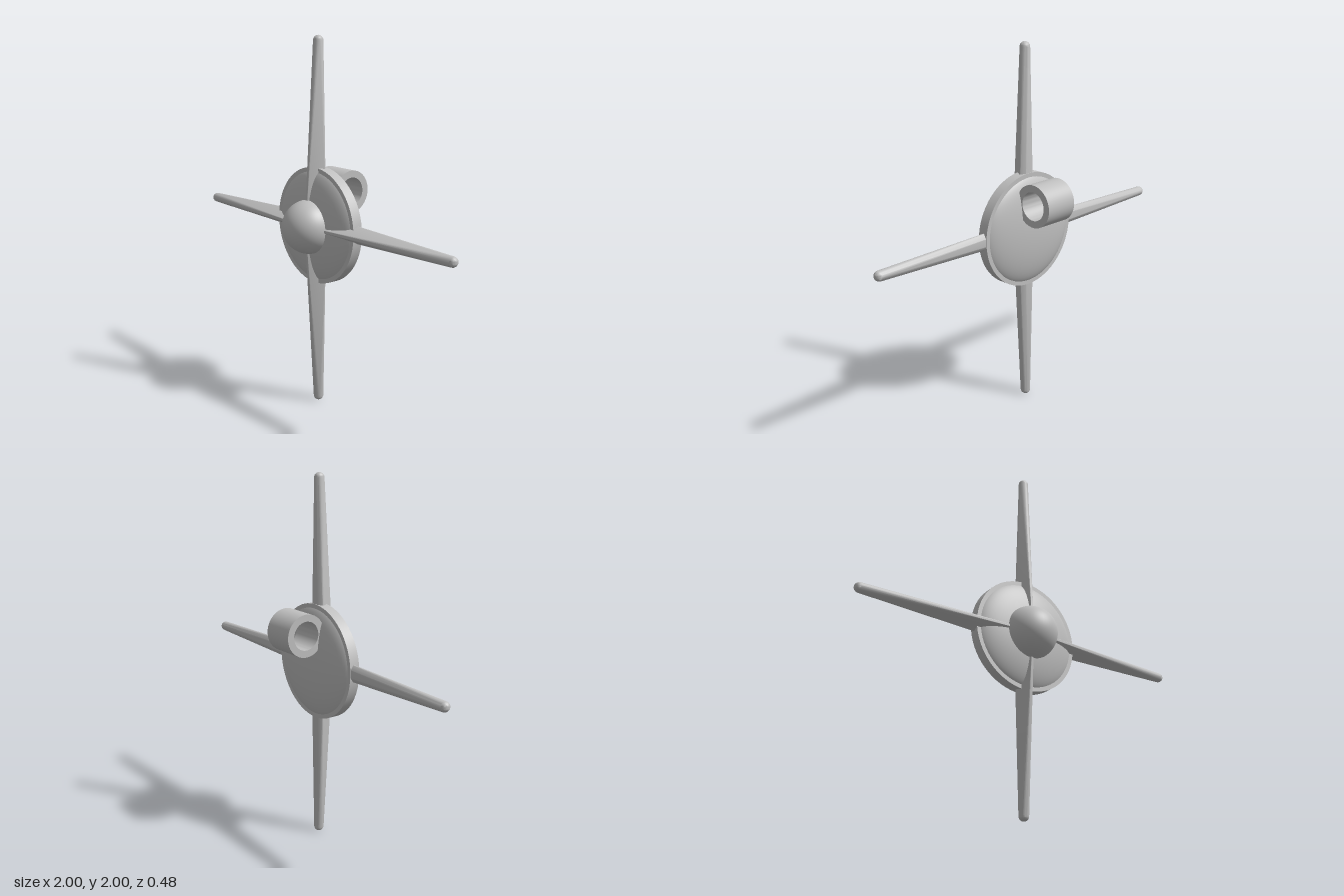
import * as THREE from 'three';
import { toCreasedNormals } from 'three/addons/utils/BufferGeometryUtils.js';
import { ConvexGeometry } from 'three/addons/geometries/ConvexGeometry.js';

const grey = new THREE.MeshStandardMaterial({ color: 0xc0c0c0 });
grey.name = 'light grey';

// Flat-ended ring made by revolving a rectangle around y
function ringGeometry(inner, outer, length) {
  const h = length / 2;
  const profile = [[inner, -h], [outer, -h], [outer, h], [inner, h], [inner, -h]]
    .map(([r, y]) => new THREE.Vector2(r, y));
  return toCreasedNormals(new THREE.LatheGeometry(profile, 64), 0.6);
}

// Kite section at the root, drawn out to a small ball at the tip
function bladeGeometry() {
  const root = 0.1, tipRadius = 0.027;
  const section = [[0.006, 0.113], [0.053, 0.02], [0.027, 0]];
  const points = section.flatMap(([x, z]) => [
    new THREE.Vector3(x, root, z),
    new THREE.Vector3(-x, root, z),
  ]);
  const rings = 6, sides = 16;
  for (let i = 0; i < rings; i++) {
    const a = (i / rings) * Math.PI / 2;
    for (let j = 0; j < sides; j++) {
      const b = (j / sides) * Math.PI * 2;
      points.push(new THREE.Vector3(
        tipRadius * Math.cos(a) * Math.cos(b),
        1 - tipRadius + tipRadius * Math.sin(a),
        0.029 + tipRadius * Math.cos(a) * Math.sin(b)));
    }
  }
  points.push(new THREE.Vector3(0, 1, 0.029));
  return toCreasedNormals(new ConvexGeometry(points), 0.5);
}

export function createModel() {
  const model = new THREE.Group();
  model.name = 'fourBladedStar';
  const add = (name, geometry, x, y, z) => {
    const mesh = new THREE.Mesh(geometry, grey);
    mesh.name = name;
    mesh.position.set(x, y, z);
    model.add(mesh);
    return mesh;
  };

  // Lens-shaped body with a raised rim
  const body = add('discBody', new THREE.SphereGeometry(1, 64, 40), 0, 1, 0.026);
  body.rotation.x = Math.PI / 2;
  body.scale.set(0.31, 0.084, 0.31);
  add('discRim', ringGeometry(0.27, 0.314, 0.058), 0, 1, 0.026).rotation.x = Math.PI / 2;

  // Round boss on the front
  add('centreBoss', new THREE.SphereGeometry(0.145, 48, 32), 0, 1, 0.093);

  // Four blades
  const blade = bladeGeometry();
  for (let i = 0; i < 4; i++) {
    add('blade' + (i + 1), blade, 0, 1, 0).rotation.z = i * Math.PI / 2;
  }

  // Loop on the back
  add('backLoop', ringGeometry(0.077, 0.115, 0.19), 0, 1.176, -0.123).rotation.z = Math.PI / 2;

  return model;
}
